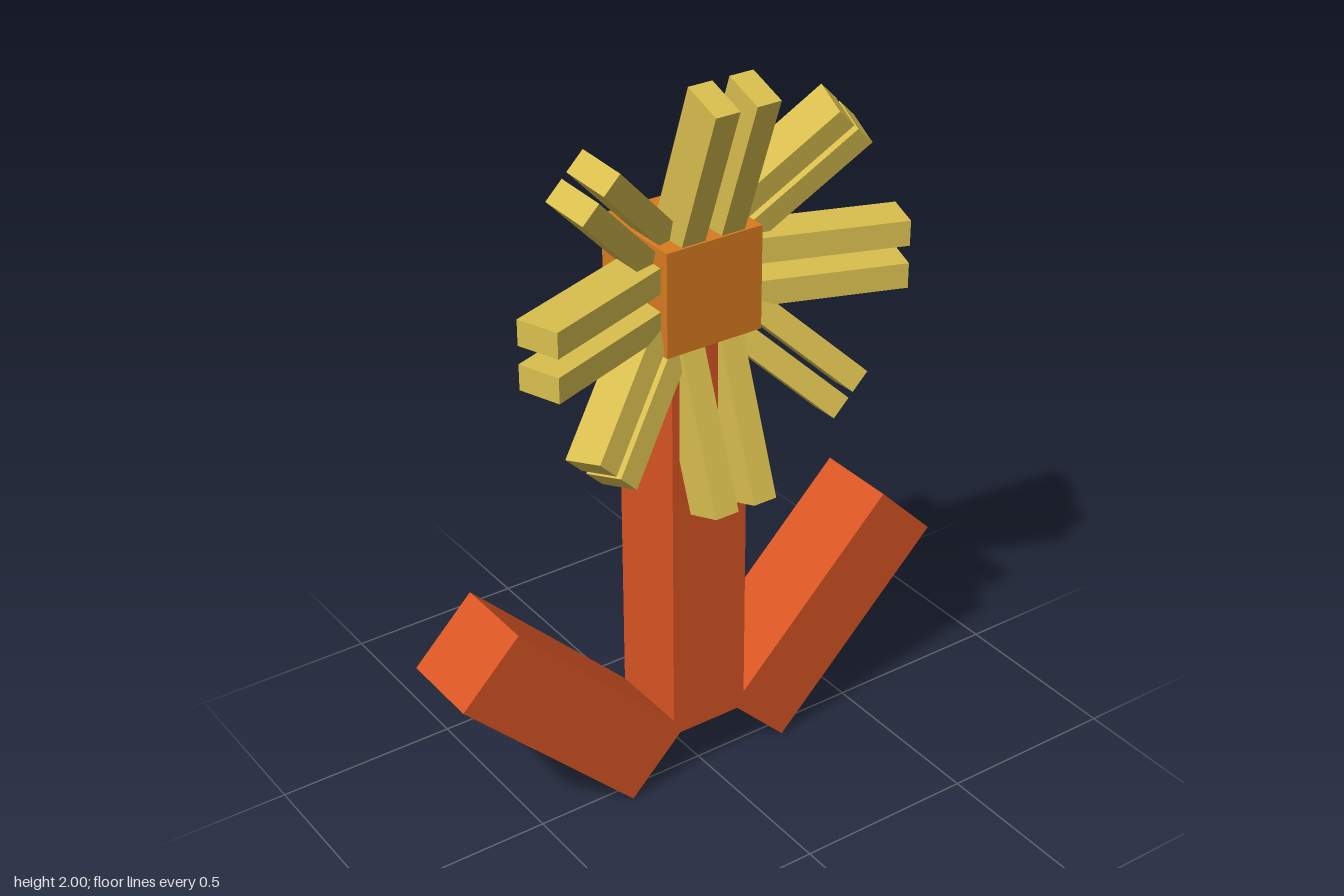
import * as THREE from 'three';

const mat = (color) => new THREE.MeshStandardMaterial({ color, flatShading: true });

export function createModel() {
  const model = new THREE.Group();
  const stemMat = mat(0xd95523);
  const headMat = mat(0xd97b20);
  const petalMat = mat(0xd9bf4e);

  function box(name, w, h, d, x, y, z, material, parent = model) {
    const mesh = new THREE.Mesh(new THREE.BoxGeometry(w, h, d), material);
    mesh.name = name;
    mesh.position.set(x, y, z);
    parent.add(mesh);
    return mesh;
  }

  // Stem and the two leaves angled up at its foot
  const depth = 0.235, stemZ = -0.067;
  box('stem', 0.228, 1.155, depth, 0, 0.7325, stemZ, stemMat);
  for (const side of [1, -1]) {
    const leaf = box(side > 0 ? 'leftLeaf' : 'rightLeaf', 0.7, 0.235, depth, side * 0.4115, 0.332, stemZ, stemMat);
    leaf.rotation.z = side * Math.PI / 4;
  }

  // Flower head
  const headY = 1.4475;
  box('flowerHead', 0.28, 0.28, 0.28, 0, headY, -0.07, headMat);

  // Pairs of petals around the head, tilted forward: [angle, radius, z, pair offset, width]
  const pairs = [
    [0, 0.315, 0.045, 0.058, 0.068],
    [45, 0.314, 0.005, 0.041, 0.064],
    [90, 0.315, 0.065, 0.058, 0.068],
    [135, 0.314, 0.005, 0.041, 0.064],
    [180, 0.315, 0.045, 0.058, 0.068],
    [225, 0.297, 0.035, 0.041, 0.064],
    [270, 0.345, 0.073, 0.058, 0.068],
    [315, 0.297, 0.035, 0.041, 0.064],
  ];
  for (const [angle, radius, z, offset, width] of pairs) {
    const pair = new THREE.Group();
    pair.name = 'petalPair';
    pair.position.y = headY;
    pair.rotation.z = THREE.MathUtils.degToRad(angle);
    for (const side of [1, -1]) {
      const petal = box('petal', 0.466, width, 0.117, radius, side * offset, z, petalMat, pair);
      petal.rotation.y = THREE.MathUtils.degToRad(-20);
    }
    model.add(pair);
  }
  return model;
}
